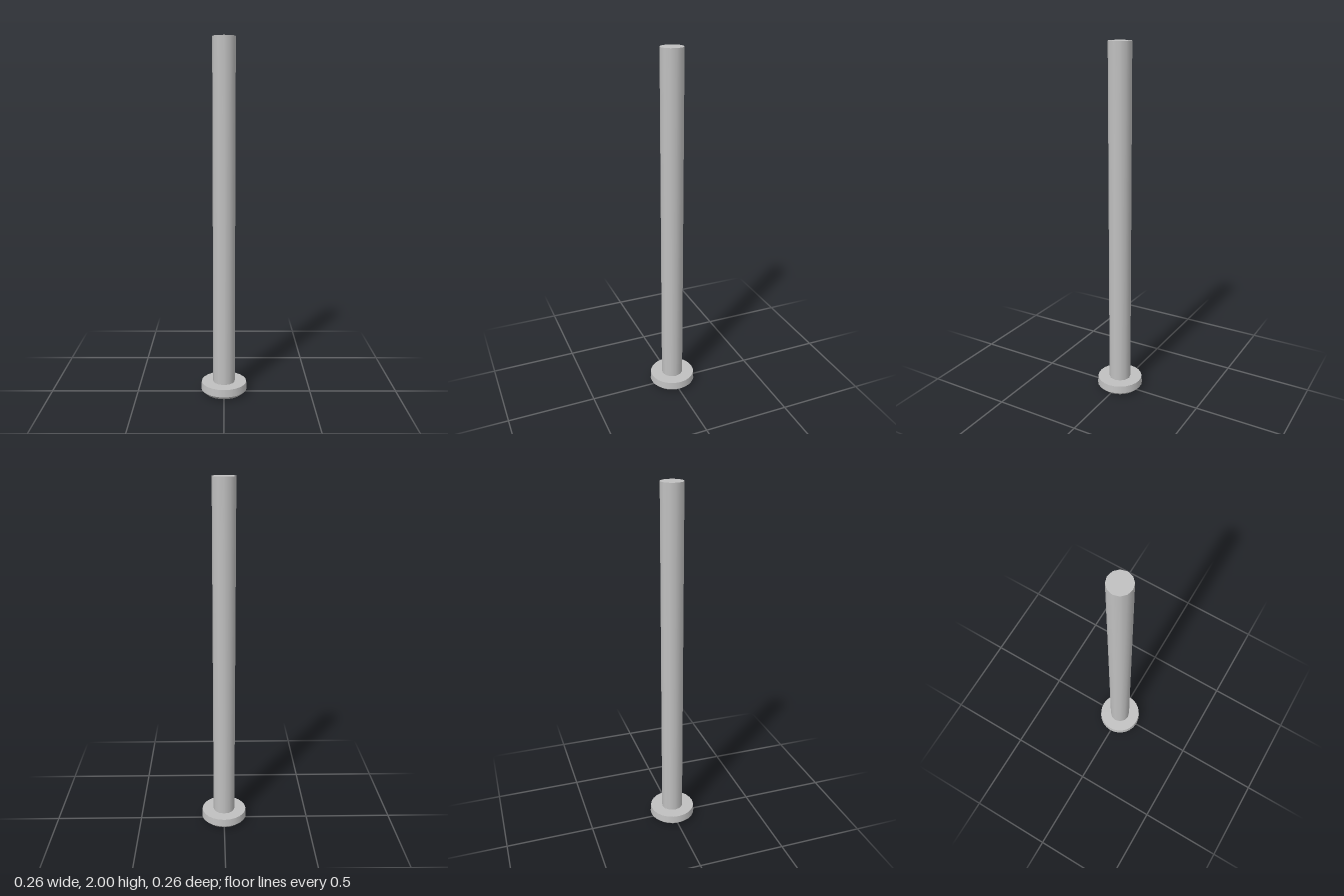
import * as THREE from 'three';

export function createModel() {
  const group = new THREE.Group();
  const steel = new THREE.MeshStandardMaterial({ color: 0xc0c0c0 });
  steel.name = 'steel grey';
  const steelInside = steel.clone();
  steelInside.side = THREE.DoubleSide;

  const add = (name, geometry, y = 0, material = steel) => {
    const mesh = new THREE.Mesh(geometry, material);
    mesh.name = name;
    mesh.position.y = y;
    group.add(mesh);
  };

  const headTop = 0.065, chamferTop = 0.022;
  const rimRadius = 0.132, faceRadius = 0.108;
  const socketRadius = 0.09, socketDepth = 0.03;

  // Long plain shaft, closed at the top
  const shaftLength = 2 - headTop;
  add('shaft', new THREE.CylinderGeometry(0.0625, 0.0625, shaftLength, 12), headTop + shaftLength / 2);

  // Slightly tapered head side with a chamfer below it
  const sideHeight = headTop - chamferTop;
  add('headSide', new THREE.CylinderGeometry(0.129, rimRadius, sideHeight, 24, 1, true), chamferTop + sideHeight / 2);
  add('headChamfer', new THREE.CylinderGeometry(rimRadius, faceRadius, chamferTop, 24, 1, true), chamferTop / 2);
  add('headShoulder', new THREE.CircleGeometry(0.129, 24).rotateX(-Math.PI / 2), headTop);

  // Underside of the head with a hexagonal opening
  const ringPoints = (radius, sides) => Array.from({ length: sides }, (_, i) => {
    const a = Math.PI / 2 + (i / sides) * Math.PI * 2;
    return new THREE.Vector2(Math.cos(a) * radius, Math.sin(a) * radius);
  });
  const face = new THREE.Shape(ringPoints(faceRadius, 24));
  face.holes.push(new THREE.Path(ringPoints(socketRadius, 6).reverse()));
  add('headFace', new THREE.ShapeGeometry(face).rotateX(Math.PI / 2));

  // Hexagonal socket: flat walls and a floor
  const walls = new THREE.CylinderGeometry(socketRadius, socketRadius, socketDepth, 6, 1, true).toNonIndexed();
  walls.computeVertexNormals();
  add('socketWalls', walls, socketDepth / 2, steelInside);
  add('socketFloor', new THREE.CircleGeometry(socketRadius, 6, Math.PI / 2).rotateX(Math.PI / 2), socketDepth);

  return group;
}
